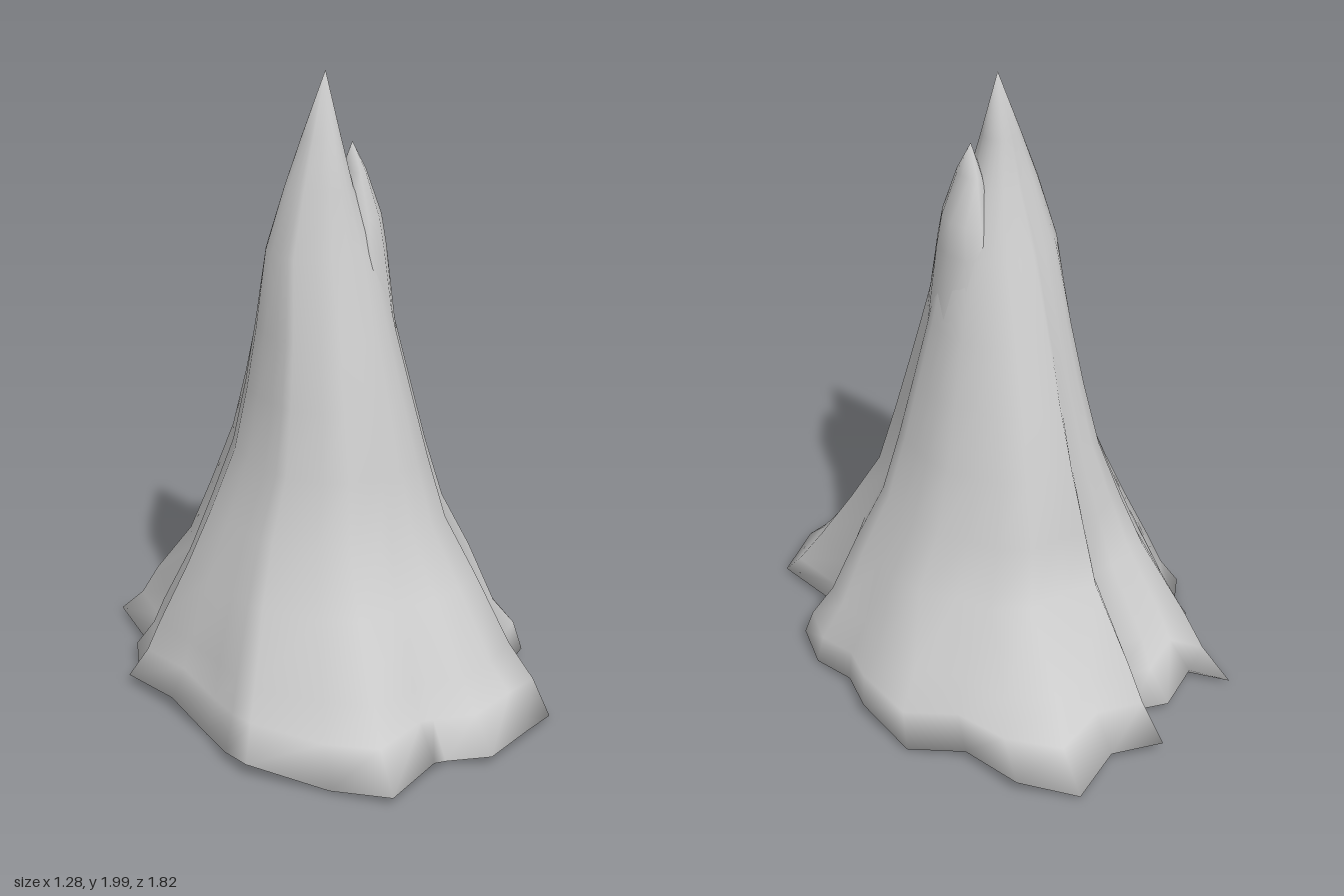
import * as THREE from 'three';

// Ragged foot outline as x, z pairs, counter-clockwise seen from above
const OUTLINE = [
  [-0.12, 0.90], [0.06, 0.78], [0.12, 0.73], [0.25, 0.78], [0.40, 0.70], [0.54, 0.58],
  [0.48, 0.32], [0.63, 0.18], [0.64, 0.05], [0.59, -0.10], [0.61, -0.26], [0.56, -0.48],
  [0.41, -0.59], [0.34, -0.80], [0.18, -0.91], [0.01, -0.80], [-0.15, -0.84], [-0.16, -0.63],
  [-0.27, -0.67], [-0.41, -0.57], [-0.52, -0.64], [-0.52, -0.35], [-0.56, -0.30], [-0.59, -0.18],
  [-0.64, -0.11], [-0.56, 0.11], [-0.51, 0.32], [-0.50, 0.48], [-0.47, 0.59], [-0.27, 0.77],
];

// Cross-sections: height, reach to -x, +x, -z, +z, how strongly the foot lobes show, ripple in height
const LEVELS = [
  // Underside, from the hollow middle out to the rim
  [0.045, 0.30, 0.30, 0.42, 0.42, 0.8, 0.02],
  [0.015, 0.53, 0.53, 0.76, 0.75, 0.95, 0.01],
  // Rim and flanks
  [0.03, 0.64, 0.64, 0.91, 0.90, 1, 0.018],
  [0.12, 0.58, 0.62, 0.79, 0.77, 0.92, 0.015],
  [0.22, 0.54, 0.55, 0.71, 0.70, 0.72, 0],
  [0.42, 0.45, 0.47, 0.50, 0.53, 0.52, 0],
  [0.60, 0.37, 0.38, 0.45, 0.41, 0.42, 0],
  [0.80, 0.29, 0.32, 0.39, 0.36, 0.35, 0],
  [1.00, 0.25, 0.27, 0.32, 0.30, 0.3, 0],
  [1.20, 0.22, 0.22, 0.25, 0.245, 0.25, 0],
  [1.45, 0.19, 0.17, 0.16, 0.16, 0.2, 0],
  [1.65, 0.13, 0.08, 0.085, 0.115, 0.15, 0],
  [1.80, 0.075, 0.045, 0.055, 0.065, 0.1, 0],
];

// Second peak on the +x flank: height, centre x, radius x, radius z
const SIDE_PEAK = [
  [0.90, 0.14, 0.13, 0.20], [1.20, 0.11, 0.105, 0.17], [1.45, 0.10, 0.088, 0.125],
  [1.55, 0.10, 0.073, 0.10], [1.69, 0.09, 0.035, 0.055],
];

function ringPoint([x, z], [y, left, right, back, front, lobe, ripple], j) {
  const u = x / 0.64, v = z / 0.9;
  const s = THREE.MathUtils.lerp(1 / Math.hypot(u, v), 1, lobe);
  return [
    u * s * (u < 0 ? left : right),
    y + ripple * Math.sin(j * 2.1),
    v * s * (v < 0 ? back : front),
  ];
}

// Smooth stack of rings, closed by a point at each end
function loft(base, rings, tip) {
  const n = rings[0].length, index = [];
  const points = [base, ...rings.flat(), tip];
  const last = points.length - 1;
  const at = (i, j) => 1 + i * n + (j % n);
  for (let j = 0; j < n; j++) {
    index.push(0, at(0, j + 1), at(0, j));
    for (let i = 0; i < rings.length - 1; i++) {
      const a = at(i, j), b = at(i, j + 1), c = at(i + 1, j + 1), d = at(i + 1, j);
      index.push(a, b, c, a, c, d);
    }
    index.push(at(rings.length - 1, j), at(rings.length - 1, j + 1), last);
  }
  const g = new THREE.BufferGeometry();
  g.setAttribute('position', new THREE.Float32BufferAttribute(points.flat(), 3));
  g.setIndex(index);
  g.computeVertexNormals();
  return g;
}

export function createModel() {
  const group = new THREE.Group();
  group.name = 'rockSpire';
  const material = new THREE.MeshStandardMaterial({ color: 0xcccccc, side: THREE.DoubleSide });
  const add = (name, geometry) => {
    const mesh = new THREE.Mesh(geometry, material);
    mesh.name = name;
    group.add(mesh);
  };

  // Main spire with its hollow underside
  const rings = LEVELS.map((level) => OUTLINE.map((p, j) => ringPoint(p, level, j)));
  add('spire', loft([0, 0.06, 0], rings, [0, 2, 0]));

  // Smaller peak growing out of the flank
  const sides = 10;
  const peakRings = SIDE_PEAK.map(([y, cx, rx, rz]) => Array.from({ length: sides }, (_, j) => {
    const t = (j / sides) * Math.PI * 2;
    return [cx + rx * Math.sin(t), y, 0.01 + rz * Math.cos(t)];
  }));
  add('sidePeak', loft([0.1, 0.85, 0], peakRings, [0.08, 1.78, 0.02]));

  return group;
}
